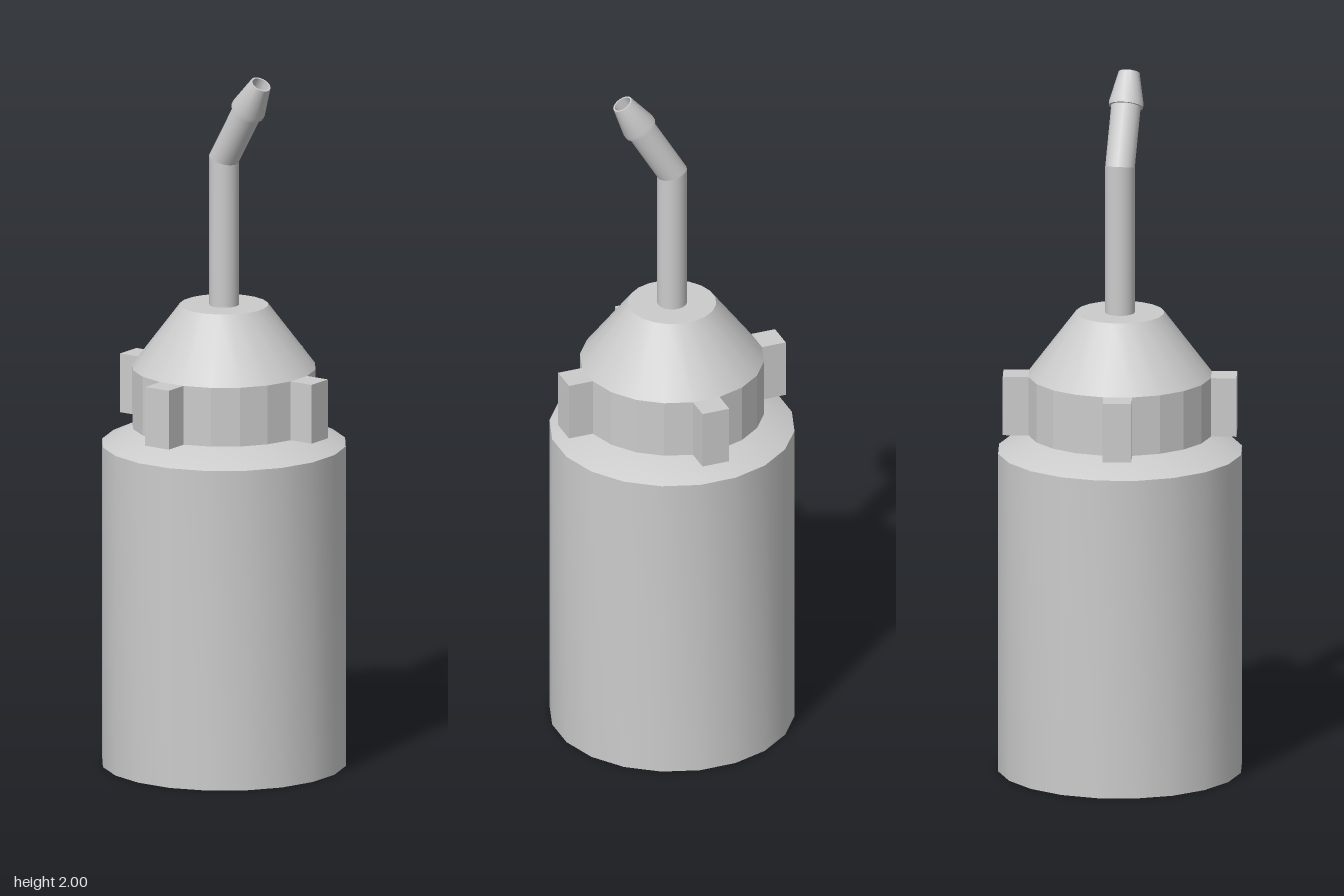
import * as THREE from 'three';
import { toCreasedNormals } from 'three/addons/utils/BufferGeometryUtils.js';

const SIDES = 20;
const BEND = THREE.MathUtils.degToRad(31);

export function createModel() {
  const model = new THREE.Group();
  model.name = 'nozzleBottle';
  const smooth = new THREE.MeshStandardMaterial({ color: 0xcccccc });
  const flat = new THREE.MeshStandardMaterial({ color: 0xcccccc, flatShading: true });

  const add = (name, geometry, material = smooth, parent = model) => {
    const mesh = new THREE.Mesh(geometry, material);
    mesh.name = name;
    parent.add(mesh);
    return mesh;
  };

  // Turned part from [radius, height] pairs, smooth around and sharp at the rims
  const turned = (profile) => toCreasedNormals(
    new THREE.LatheGeometry(profile.map(([r, y]) => new THREE.Vector2(r, y)), SIDES), 0.5);

  // Tube whose end nearest the bend is cut at the mitre angle
  const mitredTube = (radius, length, cutY, slope) => {
    const g = new THREE.CylinderGeometry(radius, radius, length, SIDES, 1, true);
    g.translate(0, length / 2, 0);
    const p = g.attributes.position;
    for (let i = 0; i < p.count; i++) {
      if (Math.abs(p.getY(i) - cutY) < 1e-4) p.setY(i, cutY + slope * p.getZ(i));
    }
    return g;
  };

  // Bottle with sloping shoulder
  add('bottle', turned([[0, 0], [0.346, 0], [0.346, 0.925], [0.235, 0.977], [0, 0.977]]));

  // Faceted cap ring with four grip tabs, each on one facet
  add('capRing', new THREE.CylinderGeometry(0.26, 0.26, 0.17, SIDES), flat).position.y = 1.06;
  for (let i = 0; i < 4; i++) {
    const pivot = new THREE.Group();
    pivot.name = 'gripTab';
    pivot.rotation.y = Math.PI / SIDES + i * Math.PI / 2;
    model.add(pivot);
    add('tabBlock', new THREE.BoxGeometry(0.08, 0.17, 0.081), flat, pivot).position.set(0.289, 1.06, 0);
  }

  // Conical top of the cap
  add('capCone', turned([[0.26, 1.145], [0.125, 1.325], [0, 1.325]]));

  // Upright stem, then the tilted spout
  const bendY = 1.747, stemY = 1.32, radius = 0.042;
  const mitre = Math.tan(BEND / 2);
  add('stem', mitredTube(radius, bendY - stemY, bendY - stemY, -mitre)).position.y = stemY;

  const spout = new THREE.Group();
  spout.name = 'spout';
  spout.position.y = bendY;
  spout.rotation.x = BEND;
  model.add(spout);
  add('spoutTube', mitredTube(radius, 0.19, 0, mitre), smooth, spout);

  // Barbed tip with a bore
  add('spoutTip', turned([
    [0.03, 0.178], [0.049, 0.178], [0.049, 0.19], [0.03, 0.278],
    [0.025, 0.278], [0.025, 0.18], [0, 0.18],
  ]), smooth, spout);

  return model;
}
